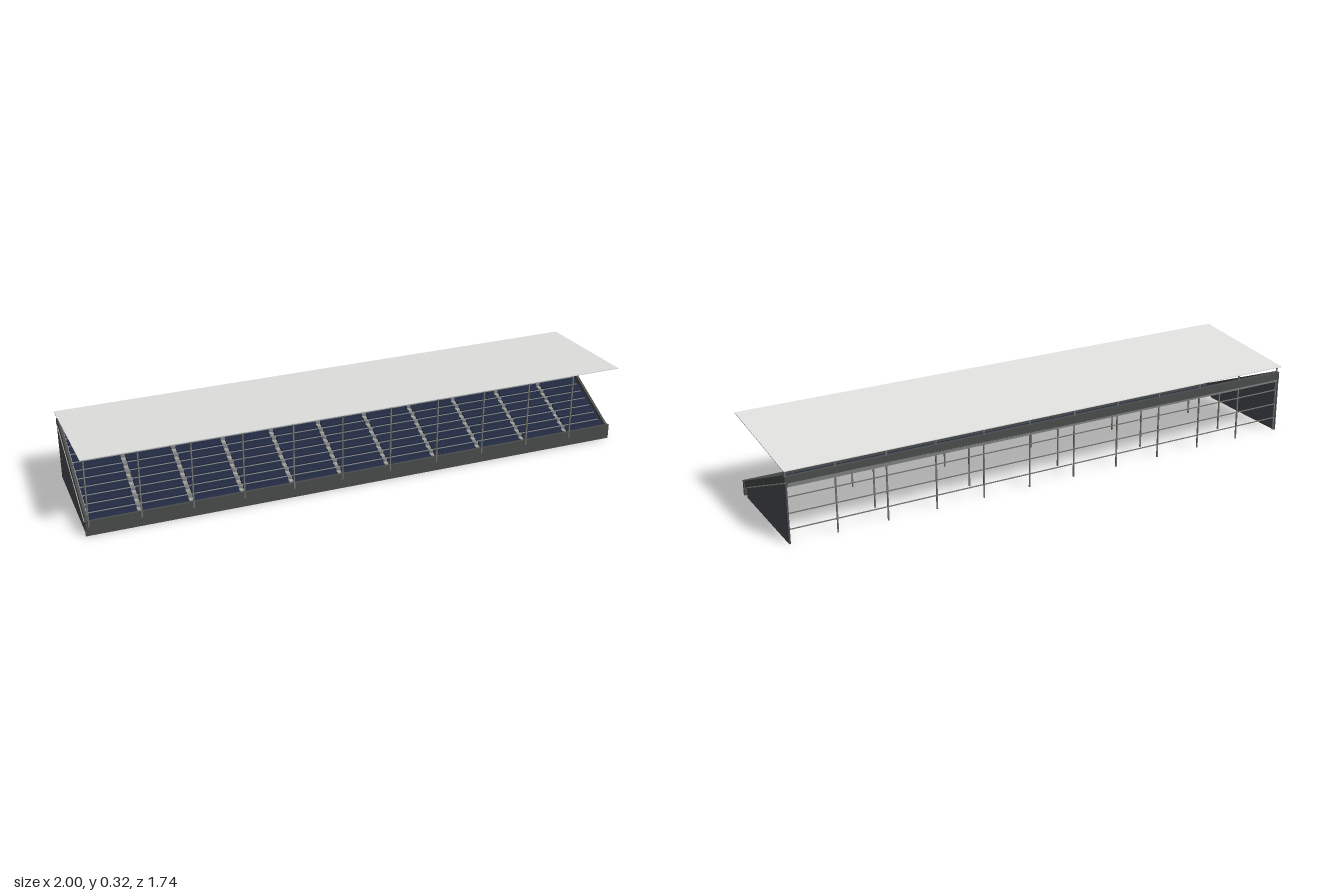
import * as THREE from 'three';
import { mergeGeometries } from 'three/addons/utils/BufferGeometryUtils.js';

const paint = (name, color) => {
  const m = new THREE.MeshStandardMaterial({ color });
  m.name = name;
  return m;
};

export function createModel() {
  const roofGrey = paint('roofGrey', 0xe3e3e2);
  const concrete = paint('concrete', 0x4a4c4c);
  const deckGrey = paint('deckGrey', 0x7d7f81);
  const panelGrey = paint('panelGrey', 0x4b5056);
  const seatNavy = paint('seatNavy', 0x242c45);
  const stepGrey = paint('stepGrey', 0xa2a29b);
  const steel = paint('steel', 0x757570);

  const HALF = 1.075, BACK = -0.245, FRONT = 0.217;
  const ROWS = 12, BAYS = 11, BAY = 0.195, U0 = -1.063;
  const depth = (FRONT - BACK - 0.012) / ROWS, rise = 0.185 / ROWS;

  const stand = new THREE.Group();
  stand.name = 'grandstand';

  const add = (name, geos, mat) => {
    const mesh = new THREE.Mesh(Array.isArray(geos) ? mergeGeometries(geos) : geos, mat);
    mesh.name = name;
    stand.add(mesh);
  };
  const box = (w, h, d, x, y, z) => new THREE.BoxGeometry(w, h, d).translate(x, y, z);
  // Side profile of [z, y] points, extruded along the stand
  const profile = (pts, x, width) =>
    new THREE.ExtrudeGeometry(new THREE.Shape(pts.map(p => new THREE.Vector2(...p))), { depth: width, bevelEnabled: false })
      .rotateY(-Math.PI / 2).translate(x + width / 2, 0, 0);
  const post = (x, y0, y1, z, t) => box(t, y1 - y0, t, x, (y0 + y1) / 2, z);
  const roofY = z => 0.281 + (z + 0.252) * 0.085;
  const underside = z => 0.215 - (z - BACK) * 0.41;

  // Stepped terrace with a flat sloping underside
  const steps = [[FRONT, underside(FRONT)], [FRONT, 0.045]];
  for (let i = 0; i < ROWS; i++) {
    const y = 0.045 + i * rise;
    steps.push([FRONT - i * depth, y], [FRONT - (i + 1) * depth, y]);
  }
  steps.push([FRONT - ROWS * depth, 0.23], [BACK, 0.23], [BACK, underside(BACK)]);
  add('terrace', profile(steps, 0, HALF * 2 - 0.022), deckGrey);

  // Seats in bays between the aisles, and half-steps in the aisles
  const seats = [], aisles = [];
  for (let r = 0; r < ROWS; r++) {
    const y = 0.045 + r * rise, z = FRONT - (r + 1) * depth;
    const bench = [[z + 0.003, y], [z + 0.028, y + 0.004], [z + 0.028, y + 0.01],
      [z + 0.008, y + 0.01], [z + 0.005, y + 0.021], [z + 0.001, y + 0.021]];
    for (let b = 0; b < BAYS; b++) {
      const end = b === BAYS - 1 ? 0.012 : 0;
      seats.push(profile(bench, U0 + (b + 0.5) * BAY - end / 2, BAY - 0.018 - end));
      aisles.push(box(0.017, 0.008, 0.018, U0 + b * BAY, y + 0.004, z + 0.009));
    }
  }
  add('seats', seats, seatNavy);
  add('aisleSteps', aisles, stepGrey);

  // Front wall and rear parapet
  add('frontWall', box(HALF * 2, 0.06, 0.01, 0, 0.03, 0.222), concrete);
  add('rearParapet', box(HALF * 2 - 0.004, 0.032, 0.014, 0, 0.239, BACK + 0.007), concrete);

  // End panels, sloping edge beams and their trims
  for (const s of [-1, 1]) {
    add('endPanel', profile([[BACK, 0], [0.194, 0], [0.194, 0.041], [BACK, 0.234]], s * 1.069, 0.006), panelGrey);
    add('edgeBeam', profile([[BACK, 0.226], [FRONT, 0.031], [FRONT, 0.06], [-0.228, 0.255], [BACK, 0.255]], s * 1.066, 0.01), concrete);
    add('edgeTrim', profile([[BACK, 0.231], [0.194, 0.039], [0.194, 0.043], [BACK, 0.235]], s * 1.072, 0.004), stepGrey);
  }

  // Posts: tall front row, rear row, and shorter rows below the terrace
  const frontPosts = [], rearPosts = [], props = [], rafters = [];
  for (let k = 0; k <= BAYS; k++) {
    const x = Math.min(U0 + k * BAY, 1.069);
    rearPosts.push(post(x, 0, roofY(-0.24) - 0.002, -0.24, 0.005));
    if (k === BAYS) continue;
    frontPosts.push(post(x, 0.04, roofY(0.232) - 0.002, 0.232, 0.005));
    rafters.push(profile([[-0.245, roofY(-0.245) - 0.012], [0.237, roofY(0.237) - 0.012],
      [0.237, roofY(0.237) - 0.002], [-0.245, roofY(-0.245) - 0.002]], x, 0.005));
    if (k % 2) for (const z of [0.09, -0.12]) props.push(post(x, 0, underside(z) + 0.002, z, 0.005));
  }
  add('frontPosts', frontPosts, steel);
  add('rearPosts', rearPosts, steel);
  add('terraceProps', props, steel);
  add('rafters', rafters, steel);

  // Rails across the open back
  add('rearRails', [0.055, 0.116, 0.178].map(y => box(HALF * 2 - 0.012, 0.0035, 0.0035, 0, y, -0.242)), steel);

  // Roof sheet
  add('roof', profile([[-0.252, roofY(-0.252) - 0.003], [0.252, roofY(0.252) - 0.003],
    [0.252, roofY(0.252)], [-0.252, roofY(-0.252)]], 0, 2.154), roofGrey);

  // The stand sits diagonally on its plot
  stand.rotation.y = 0.672;
  const model = new THREE.Group();
  model.name = 'stadiumStand';
  model.add(stand);
  return model;
}
